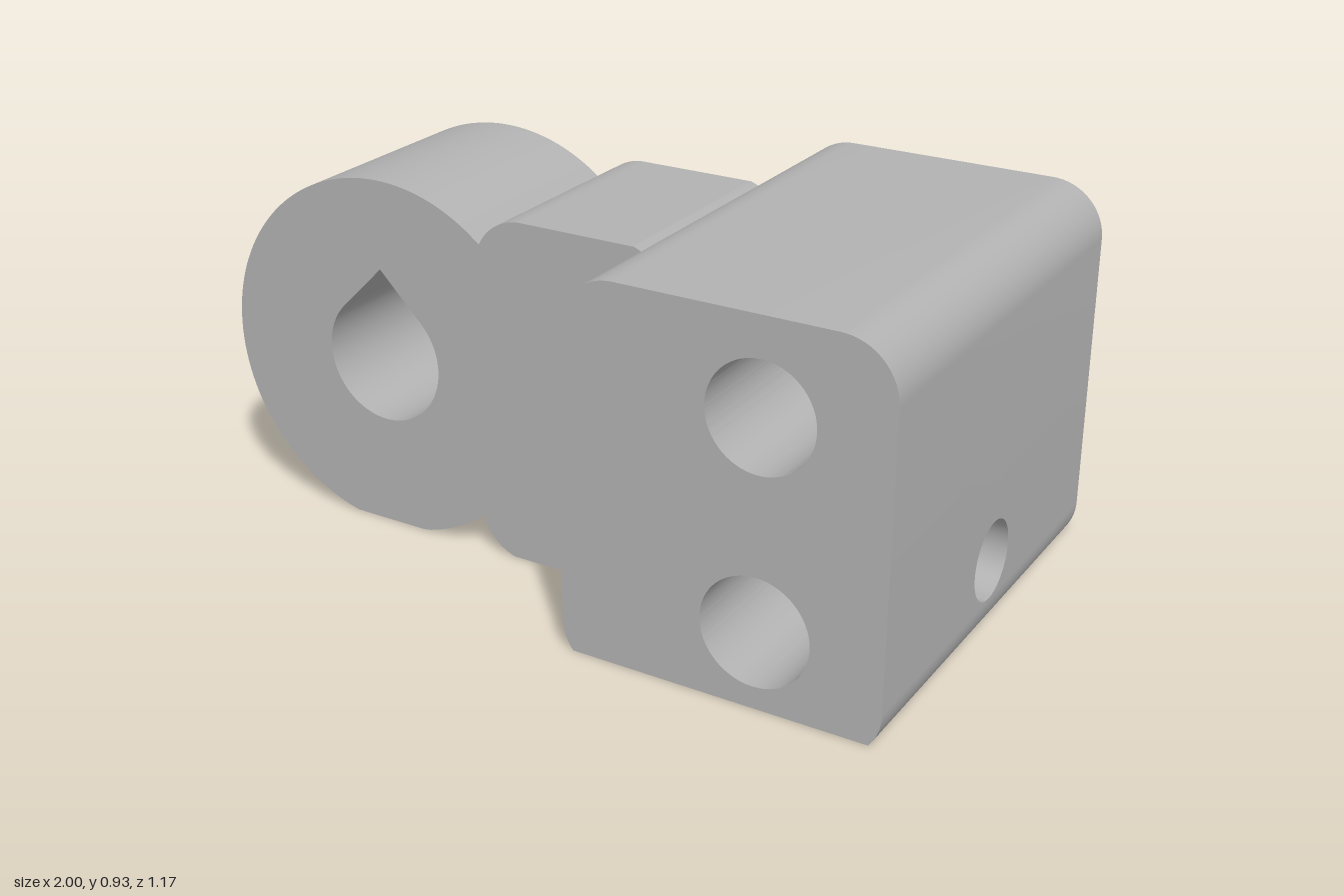
import * as THREE from 'three';
import { mergeGeometries, toCreasedNormals } from 'three/addons/utils/BufferGeometryUtils.js';

const V = (x, y, z) => new THREE.Vector3(x, y, z);
const root = (v) => Math.sqrt(Math.max(0, v));
const steps = (n, f) => Array.from({ length: n + 1 }, (_, i) => f(i / n));

// Main sizes
const BLOCK_Z = 0.585, ARM_Z = 0.28;
const bore = { y: 0.185, r: 0.1 };                  // runs along x
const pocket = { x: -0.11, r: 0.2, top: 0.235 };    // opens downward
const upperHole = { x: 0.69, y: 0.7, r: 0.132 };
const lowerHole = { x: 0.69, y: 0.19, r: 0.135 };
const ring = { x: -0.532, y: 0.455, r: 0.468 };
const tear = { x: -0.533, y: 0.455, r: 0.168 };

const arc = (cx, cy, r, a, b, n) => steps(n, (t) => {
  const k = a + (b - a) * t;
  return new THREE.Vector2(cx + r * Math.cos(k), Math.max(0, cy + r * Math.sin(k)));
});

// Surface between two matching rows of points
function strip(a, b) {
  const pos = [], index = [];
  a.forEach((p, i) => {
    pos.push(...p.toArray(), ...b[i].toArray());
    const k = 2 * i;
    if (i) index.push(k - 2, k, k + 1, k - 2, k + 1, k - 1);
  });
  const g = new THREE.BufferGeometry();
  g.setAttribute('position', new THREE.Float32BufferAttribute(pos, 3));
  g.setIndex(index);
  return g;
}

// Wall along z following a profile, leaving a central opening of half-width gap(x, y)
function wall(points, halfZ, gap = () => 0) {
  const row = (z) => points.map((p) => V(p.x, p.y, z(p)));
  return mergeGeometries([
    strip(row(() => -halfZ), row((p) => -gap(p.x, p.y))),
    strip(row((p) => gap(p.x, p.y)), row(() => halfZ)),
  ]);
}

// Flat front and back faces of a profile with holes
function caps(points, holes, halfZ) {
  const shape = new THREE.Shape(points);
  shape.holes = holes.map((h) => new THREE.Path(h));
  const front = new THREE.ShapeGeometry(shape).translate(0, 0, halfZ);
  const back = front.clone().scale(1, 1, -1);
  back.setIndex(Array.from(back.index.array).reverse());
  return mergeGeometries([front, back]);
}

// Lower and upper outline of the arm: ring joined to a round-cornered neck
function armBottom(x) {
  const round = ring.y - root(ring.r ** 2 - (x - ring.x) ** 2);
  const neck = x > -0.11 ? 0 : x < -0.245 ? 9 : 0.13 - root(0.135 ** 2 - (x + 0.11) ** 2);
  return Math.max(0, Math.min(round, neck));
}
function armTop(x) {
  const round = ring.y + root(ring.r ** 2 - (x - ring.x) ** 2);
  const neck = x > -0.11 ? 0.89 : x < -0.245 ? 0 : 0.755 + root(0.135 ** 2 - (x + 0.11) ** 2);
  return Math.max(round, neck);
}

const boreGap = (x, y) => root(bore.r ** 2 - (y - bore.y) ** 2);
const pocketGap = (x, y) => (y < pocket.top ? root(pocket.r ** 2 - (x - pocket.x) ** 2) : 0);
const hole = (h) => arc(h.x, h.y, h.r, 2 * Math.PI, 0, 180);

export function createModel() {
  const group = new THREE.Group();
  const grey = new THREE.MeshStandardMaterial({ color: 0xb2b2b2 });
  grey.name = 'plain grey';
  const add = (name, geometry, crease = 0.5) => {
    const mesh = new THREE.Mesh(toCreasedNormals(geometry, crease), grey);
    mesh.name = name;
    group.add(mesh);
  };

  // Clamp block with rounded long edges
  const r = 0.135, low = Math.asin(0.083 / r);
  const sideYs = steps(32, (t) => bore.y - bore.r * Math.cos(Math.PI * t));
  const block = [
    ...arc(0.865, 0.083, r, -low, 0, 10),
    ...sideYs.map((y) => new THREE.Vector2(1, y)),
    ...arc(0.865, 0.795, r, 0, Math.PI / 2, 16),
    ...arc(0.33, 0.795, r, Math.PI / 2, Math.PI, 16),
    ...sideYs.slice().reverse().map((y) => new THREE.Vector2(0.195, y)),
    ...arc(0.33, 0.083, r, Math.PI, Math.PI + low, 10),
  ];
  const sideGap = (x, y) => (x > 0.999 || x < 0.196 ? boreGap(x, y) : 0);
  add('blockSides', wall([...block, block[0]], BLOCK_Z, sideGap));
  add('blockEnds', caps(block, [hole(upperHole), hole(lowerHole)], BLOCK_Z));
  add('upperBoltHole', wall(hole(upperHole), BLOCK_Z));
  add('lowerBoltHole', wall(hole(lowerHole), BLOCK_Z, boreGap));

  // Arm: ring and neck in one outline, ending inside the block
  const end = Math.acos((pocket.x - pocket.r - ring.x) / ring.r);
  const arm = [
    new THREE.Vector2(0.24, 0.865), new THREE.Vector2(0.225, 0.88),
    ...steps(90, (t) => 0.2 - 0.51 * t).map((x) => new THREE.Vector2(x, armTop(x))),
    ...arc(ring.x, ring.y, ring.r, end, 2 * Math.PI - end, 90).slice(1, -1),
    ...steps(90, (t) => pocket.x - pocket.r * Math.cos(Math.PI * t))
      .map((x) => new THREE.Vector2(x, armBottom(x))),
    new THREE.Vector2(0.235, 0),
  ];
  // Teardrop opening: circle with a 45 degree peak
  const drop = [
    ...arc(tear.x, tear.y, tear.r, Math.PI / 4, -1.25 * Math.PI, 60),
    new THREE.Vector2(tear.x, tear.y + tear.r * Math.SQRT2),
  ];
  add('armSides', wall(arm, ARM_Z, pocketGap));
  add('armFaces', caps(arm, [drop], ARM_Z));
  add('teardropHole', wall([...drop, drop[0]], ARM_Z));

  // Bore from the block side through the lower bolt hole into the pocket
  const boreRow = (xAt) => steps(64, (t) => {
    const a = 2 * Math.PI * t;
    const y = bore.y + bore.r * Math.sin(a), z = bore.r * Math.cos(a);
    return V(xAt(y, z), y, z);
  });
  const holeReach = (y) => root(lowerHole.r ** 2 - (y - lowerHole.y) ** 2);
  const pocketWall = (z) => pocket.x + root(pocket.r ** 2 - z * z);
  add('sideBore', mergeGeometries([
    strip(boreRow((y) => lowerHole.x + holeReach(y)), boreRow(() => 1)),
    strip(boreRow((y, z) => pocketWall(z)), boreRow((y) => lowerHole.x - holeReach(y))),
  ]));

  // Round pocket under the neck, opened by the bore
  const pocketRow = (yAt) => steps(144, (t) => {
    const a = 2 * Math.PI * t;
    const x = pocket.x + pocket.r * Math.cos(a), z = pocket.r * Math.sin(a);
    return V(x, yAt(x, x > pocket.x ? root(bore.r ** 2 - z * z) : 0), z);
  });
  add('pocketWall', mergeGeometries([
    strip(pocketRow((x) => armBottom(x)), pocketRow((x, w) => bore.y - w)),
    strip(pocketRow((x, w) => Math.min(bore.y + w, pocket.top)), pocketRow(() => pocket.top)),
  ]));
  add('pocketCeiling', new THREE.CircleGeometry(pocket.r, 72)
    .rotateX(Math.PI / 2).translate(pocket.x, pocket.top, 0));

  // End of the bore above the pocket ceiling
  const plugRow = (yAt) => steps(32, (t) => {
    const z = bore.r * Math.cos(Math.PI * t);
    return V(pocketWall(z), yAt(root(bore.r ** 2 - z * z)), z);
  });
  add('boreEnd', strip(plugRow(() => pocket.top),
    plugRow((w) => Math.max(pocket.top, bore.y + w))));

  return group;
}
